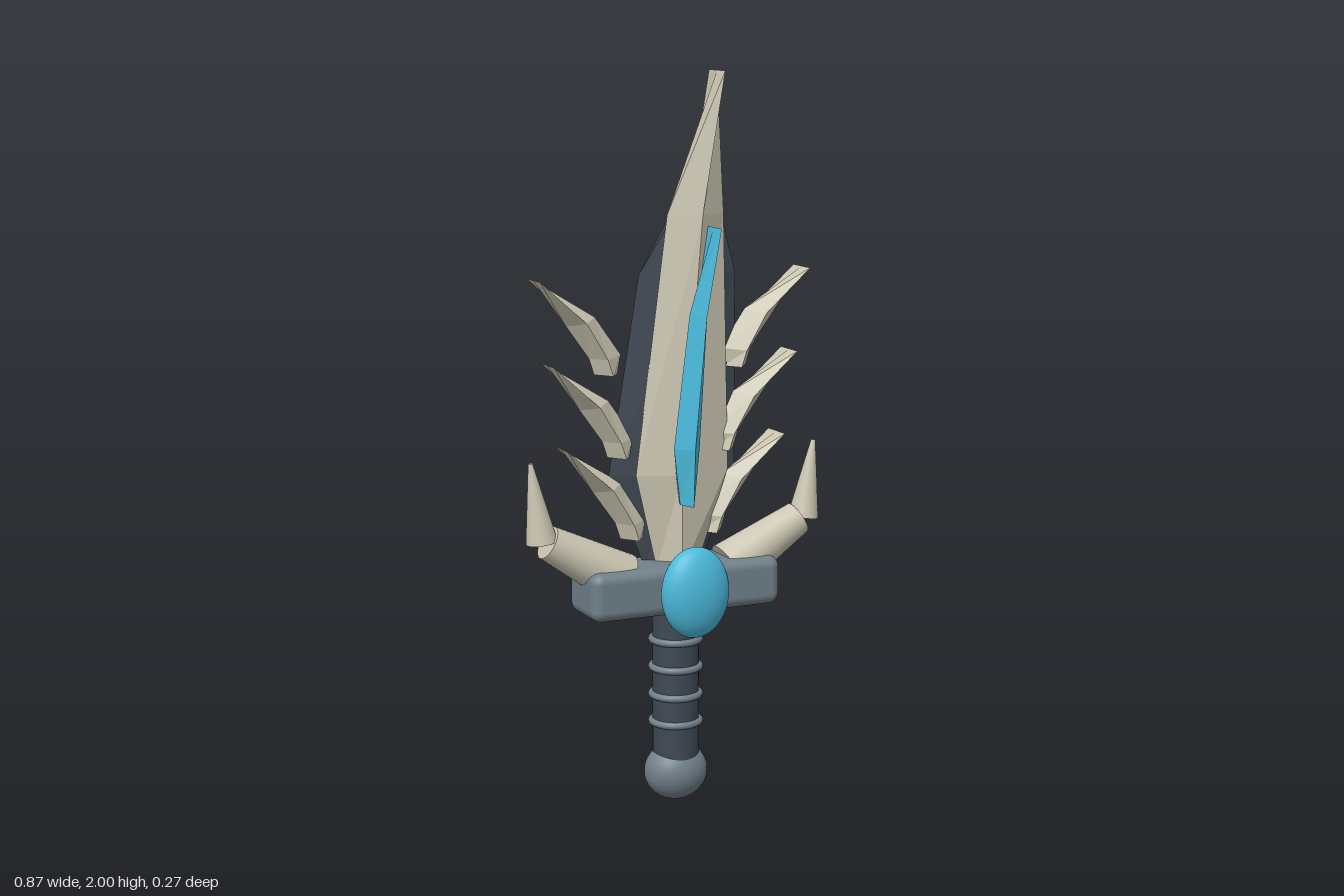
import * as THREE from 'three';
import { RoundedBoxGeometry } from 'three/addons/geometries/RoundedBoxGeometry.js';

const Z = -0.045; // depth of the sword's main axis

function material(name, color, flatShading = false) {
  const m = new THREE.MeshStandardMaterial({ color, flatShading });
  m.name = name;
  return m;
}

// Diamond-section blade. Each row: left edge x,y, ridge x,y, right edge x,y.
// The ridges run along zMid +- 0.05 and the edges along zMid.
function bladeGeometry(rows, zMid) {
  const half = 0.05, pos = [], index = [];
  for (const [lx, ly, cx, cy, rx, ry] of rows) {
    pos.push(cx, cy, zMid + half, rx, ry, zMid, cx, cy, zMid - half, lx, ly, zMid);
  }
  index.push(0, 2, 1, 0, 3, 2);
  for (let i = 0; i < rows.length - 1; i++) {
    for (let j = 0; j < 4; j++) {
      const a = i * 4 + j, b = i * 4 + (j + 1) % 4;
      index.push(a, b, b + 4, a, b + 4, a + 4);
    }
  }
  const g = new THREE.BufferGeometry();
  g.setAttribute('position', new THREE.Float32BufferAttribute(pos, 3));
  g.setIndex(index);
  const flat = g.toNonIndexed();
  flat.computeVertexNormals();
  return flat;
}

// Level rows given as y, left x, ridge x, right x
const level = ([y, l, c, r]) => [l, y, c, y, r, y];
const mirrorRow = ([lx, ly, cx, cy, rx, ry]) => [-rx, ry, -cx, cy, -lx, ly];

export function createModel() {
  const root = new THREE.Group();
  root.name = 'sword';

  const steel = material('greySteel', 0x718089);
  const grip = material('darkGrip', 0x3f4853);
  const darkBlade = material('darkBlade', 0x3f4853, true);
  const boneFlat = material('facetedBone', 0xcbc6b2, true);
  const boneSmooth = material('smoothBone', 0xcbc6b2);
  const gemBlue = material('gemBlue', 0x4ab9da);
  const crystalBlue = material('crystalBlue', 0x4ab9da, true);

  function add(name, geometry, mat, x = 0, y = 0, z = 0) {
    const mesh = new THREE.Mesh(geometry, mat);
    mesh.name = name;
    mesh.position.set(x, y, z);
    root.add(mesh);
    return mesh;
  }

  // Tapered round segment between two points
  function segment(name, from, to, r0, r1) {
    const a = new THREE.Vector3(...from), b = new THREE.Vector3(...to);
    const dir = b.clone().sub(a);
    const mesh = add(name, new THREE.CylinderGeometry(r1, r0, dir.length(), 24), boneSmooth);
    mesh.position.copy(a).add(b).multiplyScalar(0.5);
    mesh.quaternion.setFromUnitVectors(new THREE.Vector3(0, 1, 0), dir.normalize());
  }

  // Handle, pommel and grip rings
  add('pommel', new THREE.SphereGeometry(1, 32, 20), steel, 0, 0.081, Z).scale.set(0.09, 0.081, 0.077);
  add('handle', new THREE.CylinderGeometry(0.064, 0.064, 0.46, 32), grip, 0, 0.35, Z);
  for (const y of [0.225, 0.302, 0.38, 0.458]) {
    add('gripRing', new THREE.TorusGeometry(0.066, 0.01, 10, 32), steel, 0, y, Z).rotation.x = Math.PI / 2;
  }

  // Crossguard and its gem
  add('guard', new RoundedBoxGeometry(0.56, 0.135, 0.182, 4, 0.03), steel, 0, 0.612, Z);
  add('gem', new THREE.SphereGeometry(1, 32, 24), gemBlue, 0, 0.615, 0.082).scale.set(0.098, 0.125, 0.055);

  // Blade layers, back to front
  add('backBlade', bladeGeometry([
    [0.66, -0.08, 0, 0.095],
    [0.92, -0.185, 0, 0.192],
    [1.46, -0.095, 0.05, 0.192],
    [1.79, 0.1, 0.1, 0.1],
  ].map(level), -0.075), darkBlade);
  add('boneBlade', bladeGeometry([
    [0.66, -0.055, 0, 0.07],
    [0.92, -0.115, 0, 0.16],
    [1.62, -0.022, 0.06, 0.145],
    [2.0, 0.125, 0.125, 0.125],
  ].map(level), -0.05), boneFlat);
  add('crystalInlay', bladeGeometry([
    [0.845, -0.016, 0.002, 0.02],
    [1.0, -0.034, 0.006, 0.042],
    [1.36, 0.012, 0.04, 0.064],
    [1.59, 0.082, 0.082, 0.082],
  ].map(level), 0.02), crystalBlue);

  // Three curved spikes on each side, stepping down and inwards
  const spike = [
    [-0.225, 1.2, -0.19, 1.2, -0.157, 1.2],
    [-0.24, 1.245, -0.205, 1.245, -0.148, 1.25],
    [-0.305, 1.335, -0.265, 1.345, -0.222, 1.355],
    [-0.397, 1.462, -0.397, 1.462, -0.397, 1.462],
  ];
  for (let i = 0; i < 3; i++) {
    const rows = spike.map(row => row.map((v, k) => v + (k % 2 ? -0.2275 : 0.037) * i));
    add('rightSpike', bladeGeometry(rows, -0.075), boneFlat);
    add('leftSpike', bladeGeometry(rows.map(mirrorRow), -0.075), boneFlat);
  }

  // Two-part horns rising from the guard
  for (const s of [-1, 1]) {
    const side = s < 0 ? 'right' : 'left';
    segment(side + 'HornBase', [s * 0.16, 0.64, Z], [s * 0.375, 0.762, Z], 0.073, 0.047);
    segment(side + 'HornTip', [s * 0.392, 0.765, Z], [s * 0.422, 0.98, Z], 0.043, 0.006);
  }

  return root;
}
